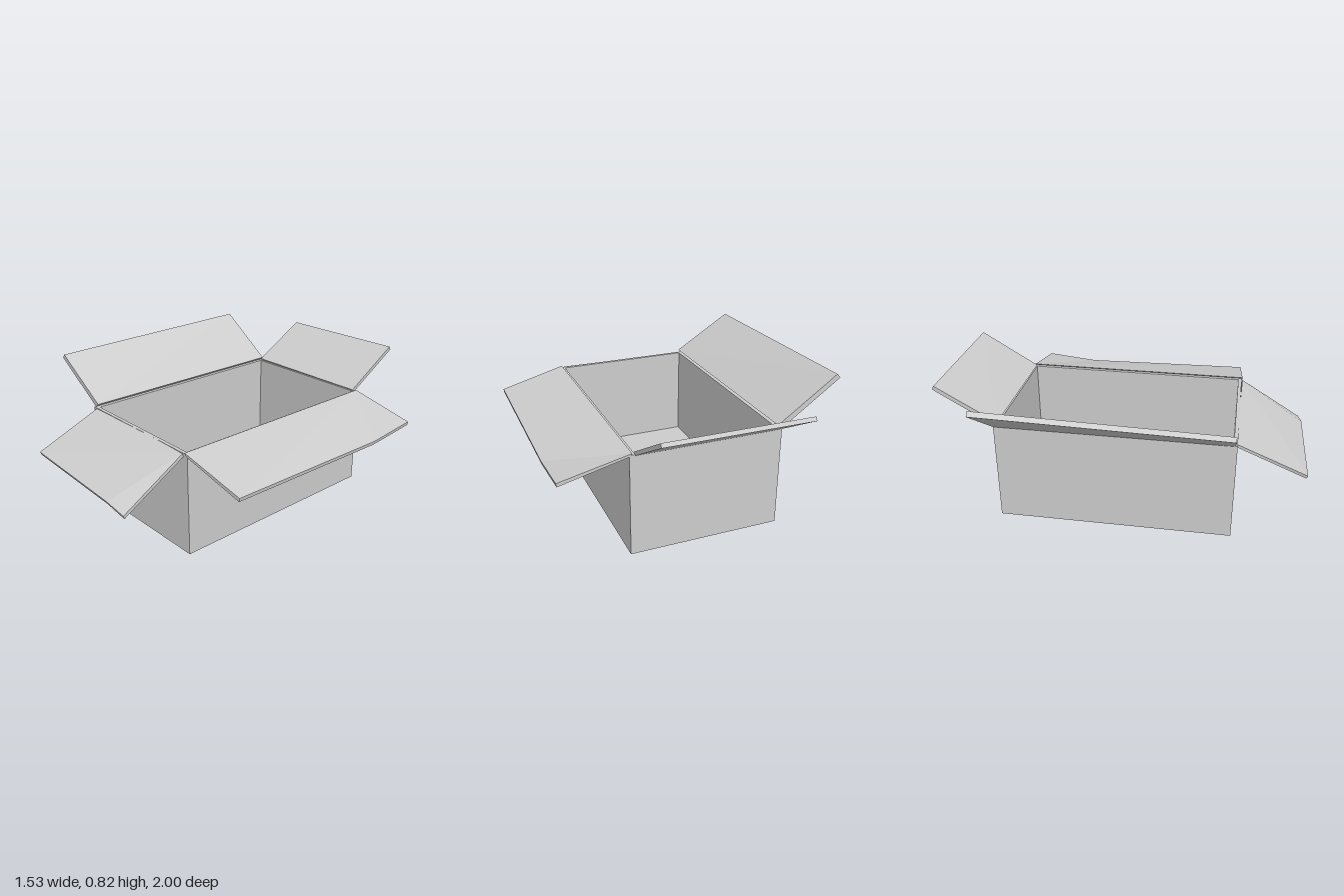
import * as THREE from 'three';

// Solid slab between a counterclockwise top outline and its matching underside
function slab(top, bottom) {
  const pos = [];
  const tri = (a, b, c) => pos.push(...a, ...b, ...c);
  const n = top.length;
  for (let i = 1; i < n - 1; i++) {
    tri(top[0], top[i], top[i + 1]);
    tri(bottom[0], bottom[i + 1], bottom[i]);
  }
  for (let i = 0; i < n; i++) {
    const j = (i + 1) % n;
    tri(top[i], bottom[i], bottom[j]);
    tri(top[i], bottom[j], top[j]);
  }
  const g = new THREE.BufferGeometry();
  g.setAttribute('position', new THREE.Float32BufferAttribute(pos, 3));
  g.computeVertexNormals();
  return g;
}

export function createModel() {
  const group = new THREE.Group();
  const cardboard = new THREE.MeshStandardMaterial({ color: 0xcccccc });
  cardboard.name = 'grey cardboard';
  const add = (name, geometry) => {
    const mesh = new THREE.Mesh(geometry, cardboard);
    mesh.name = name;
    group.add(mesh);
    return mesh;
  };

  // Four walls: a rectangular frame extruded upwards (shape y becomes -z)
  const rect = (x0, x1, z0, z1) =>
    [[x0, -z1], [x1, -z1], [x1, -z0], [x0, -z0]].map(p => new THREE.Vector2(...p));
  const frame = new THREE.Shape(rect(-0.44, 0.40, -0.67, 0.63));
  frame.holes.push(new THREE.Path(rect(-0.415, 0.37, -0.655, 0.61)));
  const walls = new THREE.ExtrudeGeometry(frame, { depth: 0.567, bevelEnabled: false });
  add('walls', walls.rotateX(-Math.PI / 2));

  // Floor, set inside the walls
  add('floor', new THREE.BoxGeometry(0.785, 0.02, 1.265)).position.set(-0.0225, 0.01, -0.0225);

  // Raised side flap
  add('rightFlap', slab(
    [[-0.415, 0.585, 0.62], [-0.415, 0.585, -0.67], [-0.75, 0.82, -0.67], [-0.755, 0.797, 0.62]],
    [[-0.44, 0.565, 0.62], [-0.44, 0.565, -0.67], [-0.77, 0.798, -0.67], [-0.77, 0.775, 0.62]]));

  // Drooping side flap, creased towards its back corner
  add('leftFlap', slab(
    [[0.385, 0.575, -0.67], [0.385, 0.575, 0.635], [0.765, 0.478, 0.62], [0.765, 0.46, -0.37], [0.765, 0.49, -0.67]],
    [[0.4, 0.558, -0.67], [0.4, 0.558, 0.635], [0.762, 0.458, 0.62], [0.762, 0.441, -0.37], [0.762, 0.47, -0.67]]));

  // Drooping front flap with a bent corner
  add('frontFlap', slab(
    [[0.37, 0.567, 0.635], [-0.415, 0.567, 0.62], [-0.415, 0.41, 1], [0.24, 0.382, 1], [0.365, 0.353, 0.99]],
    [[0.37, 0.548, 0.63], [-0.415, 0.548, 0.625], [-0.412, 0.393, 0.993], [0.24, 0.365, 0.993], [0.365, 0.336, 0.985]]));

  // Raised back flap
  add('backFlap', slab(
    [[-0.415, 0.58, -0.655], [0.37, 0.575, -0.655], [0.37, 0.775, -0.99], [-0.415, 0.77, -0.99]],
    [[-0.415, 0.56, -0.67], [0.37, 0.56, -0.67], [0.37, 0.755, -1], [-0.415, 0.75, -1]]));

  return group;
}
